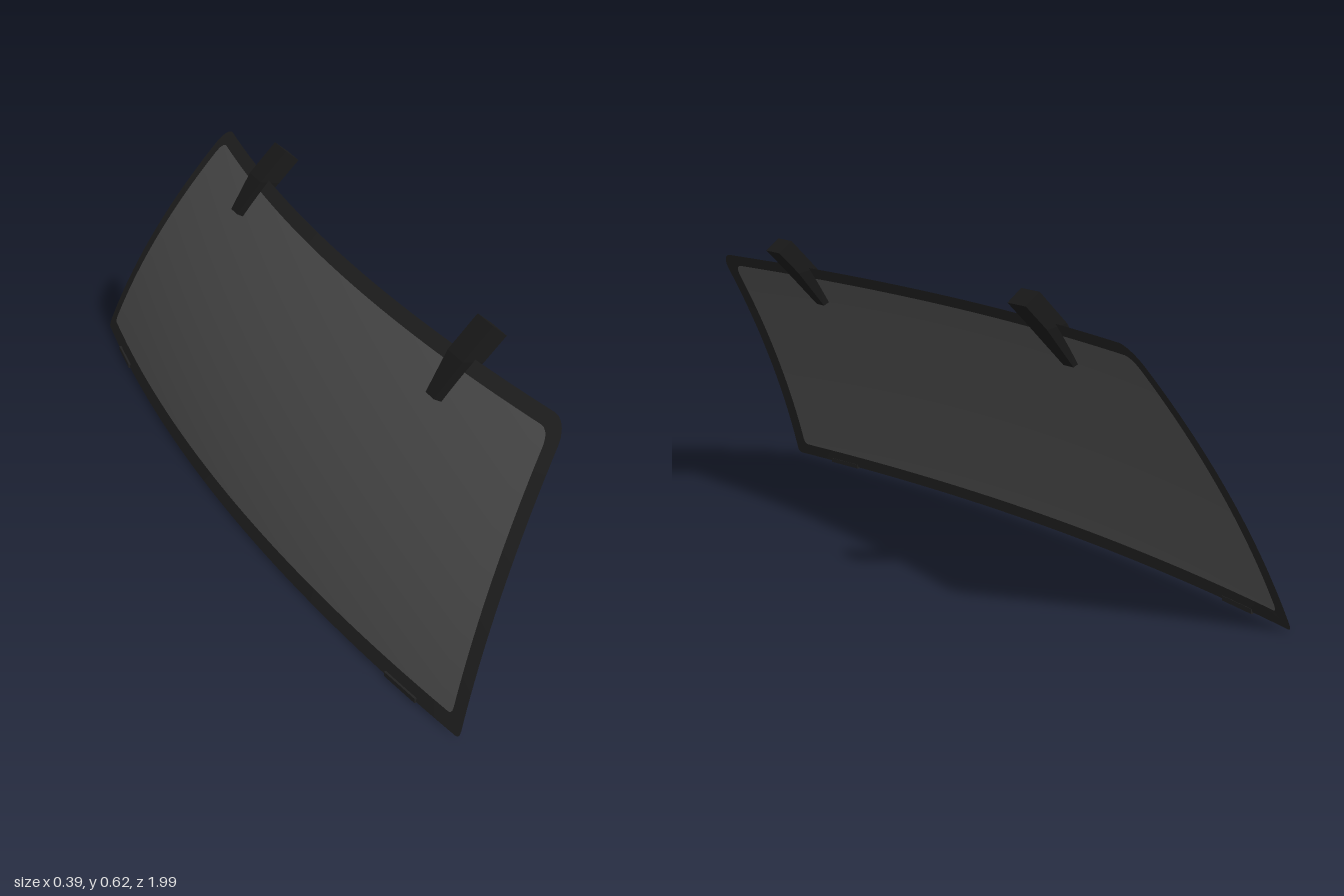
import * as THREE from 'three';

const ROWS = 28, COLS = 40;

// Doubly curved window surface: x as a function of height and width
const surfaceX = (y, z) => -0.198 + 0.319 * y + 0.384 * y * y + (0.08 + 0.03 * y) * z * z;

// Half width of the pane at a given height
const halfWidth = (y) => 1 - 0.169 * y - 0.161 * y * y;

// How far a rounded corner pulls the side in, at distance d from the edge
const cornerPull = (d, r) => (d < r ? r - Math.sqrt(Math.max(0, r * r - (r - d) ** 2)) : 0);

// Grid of points on the surface, bounded by a rounded outline
function paneGrid(y0, y1, inset, rTop, rBottom) {
  const grid = [];
  for (let i = 0; i <= ROWS; i++) {
    const y = y0 + (y1 - y0) * (1 - Math.cos((Math.PI * i) / ROWS)) / 2;
    const w = halfWidth(y) - inset - cornerPull(y1 - y, rTop) - cornerPull(y - y0, rBottom);
    const row = [];
    for (let j = 0; j <= COLS; j++) {
      const z = w * ((2 * j) / COLS - 1);
      row.push([surfaceX(y, z), y, z]);
    }
    grid.push(row);
  }
  return grid;
}

// Points around the rim of a grid, as a closed loop
function rim(grid) {
  const loop = [];
  for (let j = 0; j < COLS; j++) loop.push(grid[0][j]);
  for (let i = 0; i < ROWS; i++) loop.push(grid[i][COLS]);
  for (let j = COLS; j > 0; j--) loop.push(grid[ROWS][j]);
  for (let i = ROWS; i > 0; i--) loop.push(grid[i][0]);
  loop.push(grid[0][0]);
  return loop;
}

// Smooth sheet through rows of points
function sheet(rows) {
  const n = rows[0].length, index = [];
  for (let i = 0; i < rows.length - 1; i++) {
    for (let j = 0; j < n - 1; j++) {
      const a = i * n + j, b = a + 1, c = a + n, d = c + 1;
      index.push(a, b, d, a, d, c);
    }
  }
  const geo = new THREE.BufferGeometry();
  geo.setAttribute('position', new THREE.Float32BufferAttribute(rows.flat(2), 3));
  geo.setIndex(index);
  geo.computeVertexNormals();
  return geo;
}

// Hinge arm: a box bent through three stations, clamping the top edge
function hingeGeometry() {
  const stations = [
    { outer: [0.045, 0.477], inner: [0.073, 0.462], half: 0.018 },
    { outer: [0.1, 0.555], inner: [0.147, 0.545], half: 0.033 },
    { outer: [0.165, 0.622], inner: [0.197, 0.595], half: 0.033 },
  ];
  const geo = new THREE.BoxGeometry(1, 1, 1, 1, 2, 1).toNonIndexed();
  const p = geo.attributes.position;
  for (let i = 0; i < p.count; i++) {
    const s = stations[Math.round((p.getY(i) + 0.5) * 2)];
    const [x, y] = p.getX(i) < 0 ? s.outer : s.inner;
    p.setXYZ(i, x, y, Math.sign(p.getZ(i)) * s.half);
  }
  geo.computeVertexNormals();
  return geo;
}

export function createModel() {
  const model = new THREE.Group();
  model.name = 'rearWindow';
  const glassMat = new THREE.MeshStandardMaterial({ color: 0x505050, side: THREE.DoubleSide });
  const borderMat = new THREE.MeshStandardMaterial({ color: 0x222222, side: THREE.DoubleSide });
  const hingeMat = new THREE.MeshStandardMaterial({ color: 0x1a1a1a });

  const add = (name, geo, mat) => {
    const mesh = new THREE.Mesh(geo, mat);
    mesh.name = name;
    model.add(mesh);
    return mesh;
  };

  // Glass pane and the dark band around it
  const outer = paneGrid(0.003, 0.556, 0, 0.04, 0.012);
  const inner = paneGrid(0.032, 0.529, 0.036, 0.025, 0.012);
  add('glass', sheet(inner), glassMat);
  add('border', sheet([rim(outer), rim(inner)]), borderMat);

  // Mirrored hinges at the top and small rest pads at the bottom edge
  const hingeGeo = hingeGeometry();
  const padGeo = new THREE.BoxGeometry(0.006, 0.01, 0.11);
  for (const side of [1, -1]) {
    const label = side > 0 ? 'Front' : 'Back';
    add('hinge' + label, hingeGeo, hingeMat).position.z = side * 0.52;
    const pad = add('restPad' + label, padGeo, borderMat);
    pad.position.set(surfaceX(0.005, 0.8), 0.005, side * 0.8);
    pad.rotation.y = side * Math.atan(0.13);
  }
  return model;
}
